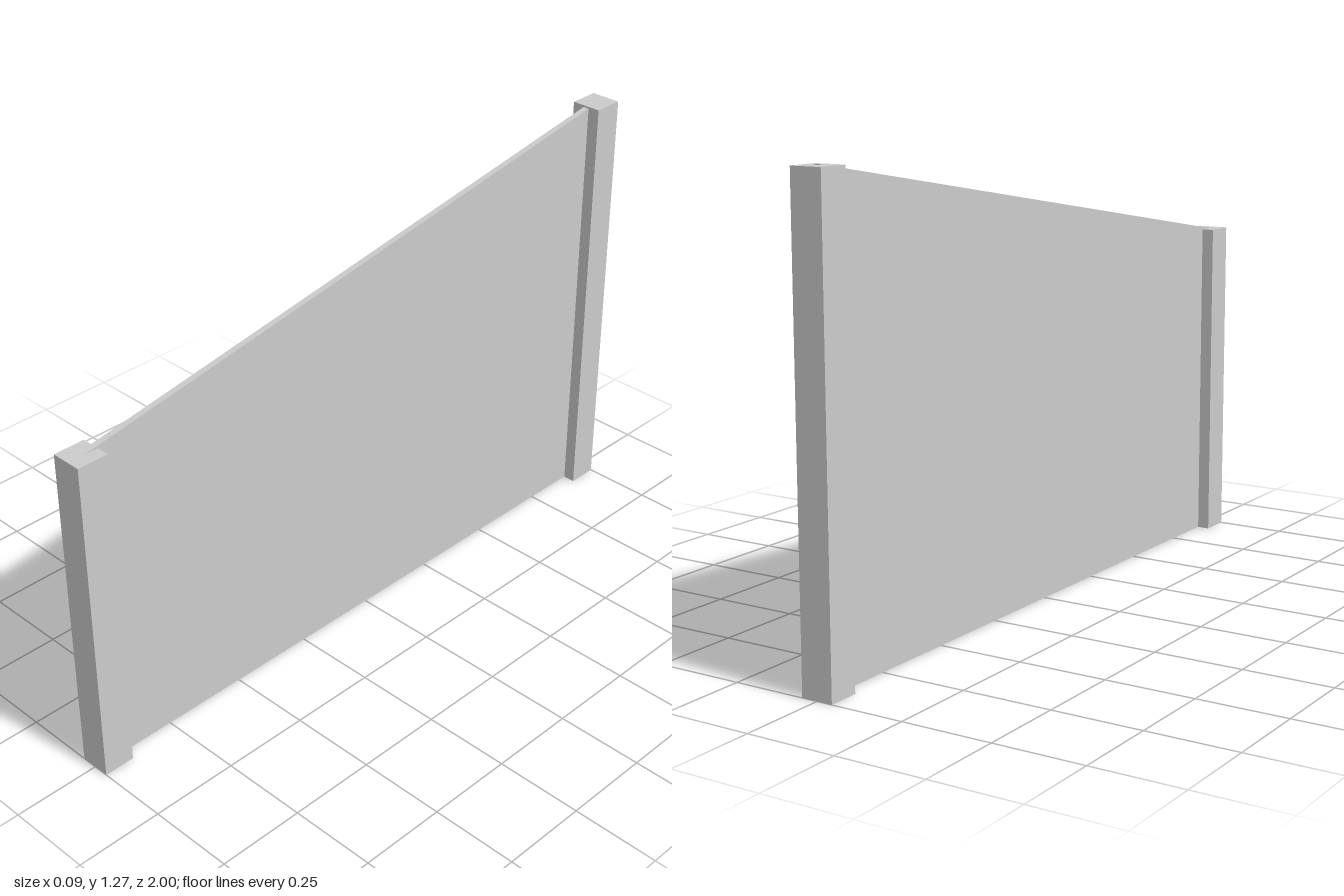
import * as THREE from 'three';

export function createModel() {
  const group = new THREE.Group();
  const material = new THREE.MeshStandardMaterial({ color: 0xcccccc, flatShading: true });

  const postSize = 0.09;
  const postZ = 1 - postSize / 2;
  const frontHeight = 0.953;
  const backHeight = 1.27;
  const thickness = 0.018;

  // Square end posts, the back one taller
  function addPost(name, height, z) {
    const post = new THREE.Mesh(new THREE.BoxGeometry(postSize, height, postSize), material);
    post.name = name;
    post.position.set(0, height / 2, z);
    group.add(post);
  }
  addPost('frontPost', frontHeight, postZ);
  addPost('backPost', backHeight, -postZ);

  // Thin panel with a sloping top, running between the post centres
  const outline = new THREE.Shape([
    new THREE.Vector2(-postZ, 0.001),
    new THREE.Vector2(postZ, 0.001),
    new THREE.Vector2(postZ, backHeight + 0.002),
    new THREE.Vector2(-postZ, frontHeight),
  ]);
  const geometry = new THREE.ExtrudeGeometry(outline, { depth: thickness, bevelEnabled: false });
  geometry.translate(0, 0, -thickness / 2);
  geometry.rotateY(Math.PI / 2); // outline's +x becomes the back (-z)
  const panel = new THREE.Mesh(geometry, material);
  panel.name = 'slopedPanel';
  group.add(panel);

  return group;
}
